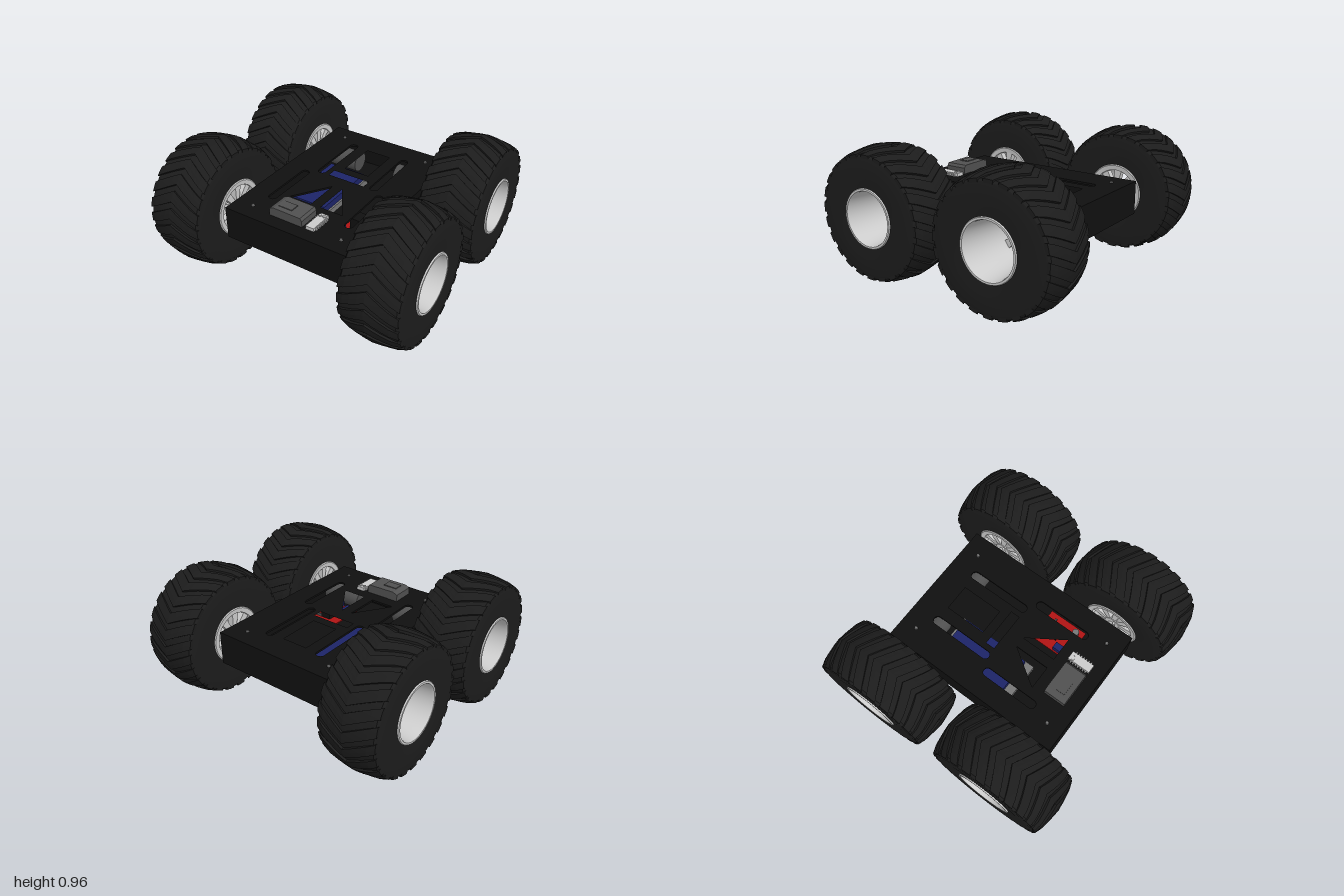
import * as THREE from 'three';
import { toCreasedNormals } from 'three/addons/utils/BufferGeometryUtils.js';

const mat = (color, extra = {}) => new THREE.MeshStandardMaterial({ color, ...extra });
const black = mat(0x101010);
const rubber = mat(0x1c1c1c, { side: THREE.DoubleSide });
const lugRubber = mat(0x1c1c1c, { flatShading: true });
const metal = mat(0xcccccc, { side: THREE.DoubleSide });
const darkGrey = mat(0x505050);
const midGrey = mat(0x777777);
const blue = mat(0x1c2468);
const red = mat(0xb01414);

const WHEEL_R = 0.48, HALF_W = 0.218, WHEEL_X = 0.78, WHEEL_Z = 0.51, AXLE_Y = 0.483;

function add(parent, name, geometry, material, x = 0, y = 0, z = 0) {
  const mesh = new THREE.Mesh(geometry, material);
  mesh.name = name;
  mesh.position.set(x, y, z);
  parent.add(mesh);
  return mesh;
}
// box given by its limits on each axis
function box(parent, name, material, x0, x1, y0, y1, z0, z1) {
  return add(parent, name, new THREE.BoxGeometry(x1 - x0, y1 - y0, z1 - z0), material,
    (x0 + x1) / 2, (y0 + y1) / 2, (z0 + z1) / 2);
}
// cylinder lying along x
const rod = (r, length, sides = 24) => new THREE.CylinderGeometry(r, r, length, sides).rotateZ(-Math.PI / 2);
// lathe around x, points are [radius, x]
const turned = (pts, segments = 64) => toCreasedNormals(
  new THREE.LatheGeometry(pts.map(([r, x]) => new THREE.Vector2(r, x)), segments), 0.5).rotateZ(-Math.PI / 2);

// tyre radius over the lugs at a distance from the centre line
const crown = (x) => WHEEL_R - 0.032 * (Math.abs(x) / HALF_W) ** 1.3;

// chevron lug: a box bent around the tyre
function lugGeometry(angle, step, dir) {
  const g = new THREE.BoxGeometry(2 * HALF_W - 0.006, 1, 1, 8, 1, 2);
  const p = g.attributes.position;
  for (let i = 0; i < p.count; i++) {
    const x = p.getX(i), edge = Math.abs(x) / HALF_W;
    const r = crown(x) - (p.getY(i) > 0 ? 0.012 * edge ** 14 : 0.035);
    const a = angle + dir * (p.getZ(i) * step * 0.62 + edge * 0.25);
    p.setXYZ(i, x, r * Math.cos(a), dir * r * Math.sin(a) * dir);
  }
  // reversed angle mirrors the box, so turn its faces back
  if (dir < 0) {
    const idx = g.index.array;
    for (let i = 0; i < idx.length; i += 3) [idx[i], idx[i + 1]] = [idx[i + 1], idx[i]];
  }
  return g;
}

// wheel with its outer side towards +x
function makeWheel(dir) {
  const wheel = new THREE.Group();
  const c = (x) => crown(x) - 0.015;
  add(wheel, 'tyre', turned([
    [0.205, -0.212], [0.3, -HALF_W], [0.4, -HALF_W], [0.422, -0.213], [c(0.2), -0.2], [c(0.1), -0.1],
    [c(0), 0], [c(0.1), 0.1], [c(0.2), 0.2], [0.422, 0.213], [0.4, HALF_W], [0.3, HALF_W], [0.205, 0.212],
  ]), rubber);

  const count = 24, step = (Math.PI * 2) / count;
  const tread = new THREE.Group();
  tread.name = 'tread';
  wheel.add(tread);
  for (let i = 0; i < count; i++) add(tread, 'treadLug', lugGeometry(i * step, step, dir), lugRubber);

  // deep barrel open to the outside
  add(wheel, 'rim', turned([
    [0.165, -0.2], [0.17, -0.216], [0.205, -0.22], [0.212, -0.214], [0.205, 0], [0.212, 0.214],
    [0.208, 0.222], [0.194, 0.222], [0.188, 0.205], [0.165, -0.12], [0.165, -0.2],
  ]), metal);

  // swept spokes near the inner side
  const s = new THREE.Shape();
  s.moveTo(0.045, -0.014);
  s.lineTo(0.17, -0.012);
  s.lineTo(0.168, 0.045);
  s.lineTo(0.045, 0.016);
  const spoke = new THREE.ExtrudeGeometry(s, { depth: 0.05, bevelEnabled: false })
    .rotateY(Math.PI / 2).rotateX(Math.PI / 2);
  for (let i = 0; i < 9; i++) {
    add(wheel, 'spoke', spoke, metal, -0.205).rotation.x = (i / 9) * Math.PI * 2;
  }
  add(wheel, 'hub', rod(0.06, 0.07), metal, -0.175);

  // shaft coupling with clamp screw
  add(wheel, 'axle', rod(0.011, 0.12, 12), metal, -0.255);
  add(wheel, 'coupling', rod(0.028, 0.035, 6), metal, -0.23);
  add(wheel, 'clampScrew', new THREE.CylinderGeometry(0.011, 0.011, 0.09, 10), metal, -0.225, 0.015, 0.02);
  return wheel;
}

// plan shapes use y = -z so they lie flat after rotation
function polygon(points, Type = THREE.Path) {
  const p = new Type();
  points.forEach(([x, z], i) => (i ? p.lineTo(x, -z) : p.moveTo(x, -z)));
  p.closePath();
  return p;
}
const rect = (x0, x1, z0, z1, Type) => polygon([[x0, z0], [x1, z0], [x1, z1], [x0, z1]], Type);
function slot(x, z0, z1, r = 0.032) {
  const p = new THREE.Path();
  p.absarc(x, -z0 - r, r, 0, Math.PI);
  p.absarc(x, -z1 + r, r, Math.PI, Math.PI * 2);
  p.closePath();
  return p;
}

function makeChassis() {
  const chassis = new THREE.Group();
  chassis.name = 'chassis';
  box(chassis, 'floor', black, -0.51, 0.51, 0.36, 0.375, -0.71, 0.71);
  for (const s of [-1, 1]) {
    add(chassis, 'sideWall', new THREE.BoxGeometry(0.02, 0.25, 1.42), black, s * 0.5, 0.485, 0);
    add(chassis, 'endWall', new THREE.BoxGeometry(0.98, 0.25, 0.02), black, 0, 0.485, s * 0.7);
  }
  // top plate with cutouts
  const plate = rect(-0.51, 0.51, -0.71, 0.71, THREE.Shape);
  plate.holes.push(rect(-0.1, 0.1, -0.5, -0.18), rect(-0.15, 0.15, -0.11, -0.04));
  for (const s of [-1, 1]) {
    plate.holes.push(slot(s * 0.225, -0.53, -0.03), slot(s * 0.32, 0, 0.45),
      polygon([[s * 0.04, 0.08], [s * 0.22, 0.35], [s * 0.04, 0.35]]));
  }
  add(chassis, 'topPlate', new THREE.ExtrudeGeometry(plate, { depth: 0.015, bevelEnabled: false, curveSegments: 8 })
    .rotateX(-Math.PI / 2), black, 0, 0.595, 0);
  for (const x of [-0.365, 0.365]) for (const z of [-0.585, 0.585])
    add(chassis, 'plateScrew', new THREE.CylinderGeometry(0.01, 0.013, 0.01, 12), midGrey, x, 0.614, z);
  return chassis;
}

function makeElectronics() {
  const g = new THREE.Group();
  g.name = 'electronics';
  // gear motors behind each wheel
  for (const x of [-1, 1]) for (const z of [-1, 1])
    add(g, 'motor', rod(0.08, 0.33), darkGrey, x * 0.335, AXLE_Y, z * WHEEL_Z);
  // battery pack in a grey tray
  box(g, 'batteryTray', midGrey, -0.37, -0.04, 0.375, 0.42, -0.41, 0.24);
  box(g, 'battery', blue, -0.36, -0.055, 0.42, 0.47, -0.38, 0.17);
  // motor driver board with parts
  box(g, 'driverBoard', red, 0.14, 0.4, 0.43, 0.44, 0.09, 0.4);
  box(g, 'terminalBlock', blue, 0.15, 0.2, 0.44, 0.49, 0.27, 0.35);
  box(g, 'terminalBlock', blue, 0.27, 0.31, 0.44, 0.48, 0.36, 0.4);
  box(g, 'heatSink', black, 0.22, 0.3, 0.44, 0.53, 0.15, 0.25);
  box(g, 'driverChip', darkGrey, 0.3, 0.36, 0.44, 0.46, 0.15, 0.165);
  add(g, 'capacitor', new THREE.CylinderGeometry(0.025, 0.025, 0.06, 16), midGrey, 0.345, 0.47, 0.34);

  // control box on the plate, chamfered along both ends
  const s = polygon([[-0.2, 0], [0.07, 0], [0.07, -0.045], [0.055, -0.065], [-0.165, -0.068], [-0.2, -0.052]], THREE.Shape);
  add(g, 'controlBox', new THREE.ExtrudeGeometry(s, { depth: 0.17, bevelEnabled: false }), darkGrey, 0, 0.61, 0.44);
  box(g, 'controlBoxPanel', darkGrey, -0.15, -0.04, 0.67, 0.683, 0.5, 0.57);

  // finned module beside it
  box(g, 'finnedModule', metal, 0.1, 0.165, 0.61, 0.635, 0.43, 0.61);
  for (let i = 0; i < 7; i++)
    box(g, 'fin', metal, 0.088, 0.178, 0.612, 0.628, 0.453 + i * 0.021, 0.463 + i * 0.021);
  for (const x of [0.115, 0.15])
    add(g, 'moduleCap', new THREE.CylinderGeometry(0.012, 0.012, 0.01, 12), metal, x, 0.638, 0.46);
  return g;
}

export function createModel() {
  const model = new THREE.Group();
  model.name = 'rover';
  model.add(makeChassis(), makeElectronics());
  for (const side of [-1, 1]) for (const end of [-1, 1]) {
    const wheel = makeWheel(side);
    wheel.name = (end > 0 ? 'front' : 'back') + (side > 0 ? 'Left' : 'Right') + 'Wheel';
    wheel.position.set(side * WHEEL_X, AXLE_Y, end * WHEEL_Z);
    if (side < 0) wheel.rotation.y = Math.PI;
    model.add(wheel);
  }
  return model;
}
